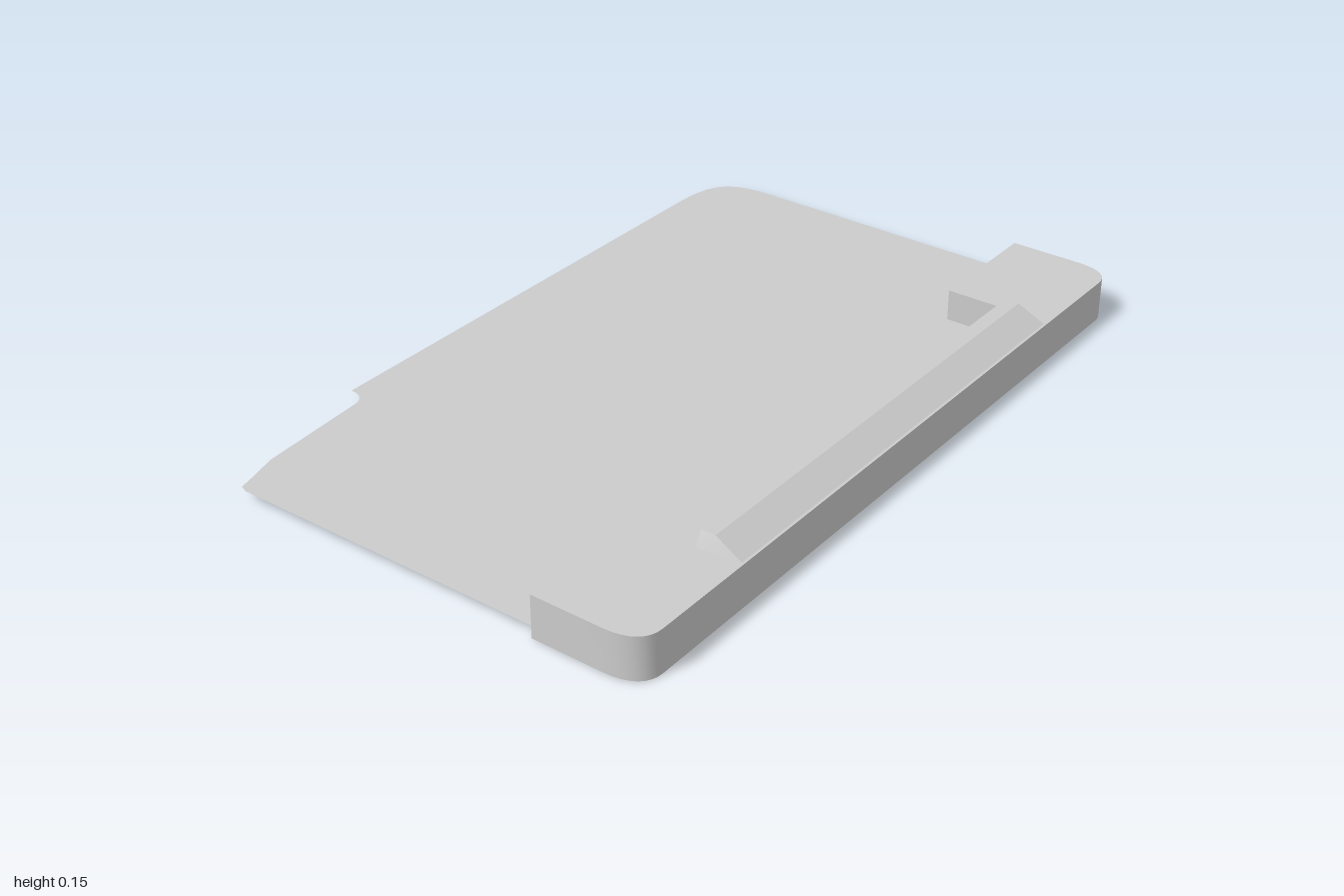
import * as THREE from 'three';
import { ConvexGeometry } from 'three/addons/geometries/ConvexGeometry.js';
import { toCreasedNormals } from 'three/addons/utils/BufferGeometryUtils.js';

const material = new THREE.MeshStandardMaterial({ color: 0xcccccc });
const sheetMaterial = new THREE.MeshStandardMaterial({ color: 0xcccccc, side: THREE.DoubleSide });

function addMesh(group, name, geometry, mat = material) {
  const mesh = new THREE.Mesh(geometry, mat);
  mesh.name = name;
  group.add(mesh);
  return mesh;
}

export function createModel() {
  const group = new THREE.Group();
  group.name = 'panelWithHousing';

  const height = 0.112, front = 0.632, back = 0.343, wall = 0.515;
  const wing = 0.66, r = 0.07;

  // U-shaped housing along the front, drawn in plan (shape y = -z)
  const plan = new THREE.Shape();
  plan.moveTo(-1, -back);
  plan.lineTo(-1, -front + 0.1);
  plan.bezierCurveTo(-1, -front + 0.03, -0.97, -front, -1 + r, -front);
  plan.lineTo(1 - r, -front);
  plan.bezierCurveTo(0.97, -front, 1, -front + 0.03, 1, -front + 0.1);
  plan.lineTo(1, -back);
  plan.lineTo(wing, -back);
  plan.lineTo(wing, -wall);
  plan.lineTo(-wing - 0.004, -wall);
  plan.lineTo(-wing - 0.004, -back);
  plan.closePath();
  const housing = new THREE.ExtrudeGeometry(plan, { depth: height, bevelEnabled: false, curveSegments: 8 });
  housing.rotateX(-Math.PI / 2);
  addMesh(group, 'housing', toCreasedNormals(housing, 0.6));

  // Raised ridge with a sloping front and angled ends
  const corners = [];
  for (const s of [-1, 1]) {
    corners.push(
      new THREE.Vector3(s * 0.661, height, wall),
      new THREE.Vector3(s * 0.648, height, 0.625),
      new THREE.Vector3(s * 0.643, 0.149, 0.553),
      new THREE.Vector3(s * 0.643, 0.149, wall)
    );
  }
  addMesh(group, 'ridge', toCreasedNormals(new ConvexGeometry(corners), 0.3));

  // Thin sheet with one rounded rear corner and one stepped rear corner
  const sheet = new THREE.Shape();
  sheet.moveTo(-0.995, -0.52);
  sheet.lineTo(-0.92, -0.615);
  sheet.lineTo(0.92, -0.615);
  sheet.lineTo(0.995, -0.52);
  sheet.lineTo(0.998, 0.48);
  sheet.bezierCurveTo(0.99, 0.59, 0.96, 0.635, 0.8, 0.635);
  sheet.lineTo(-0.53, 0.635);
  sheet.bezierCurveTo(-0.53, 0.61, -0.54, 0.585, -0.57, 0.583);
  sheet.lineTo(-0.87, 0.562);
  sheet.lineTo(-0.95, 0.54);
  sheet.lineTo(-0.99, 0.53);
  sheet.lineTo(-0.998, 0.51);
  sheet.closePath();
  const sheetGeometry = new THREE.ShapeGeometry(sheet, 10);
  sheetGeometry.rotateX(-Math.PI / 2);
  addMesh(group, 'sheet', sheetGeometry, sheetMaterial).position.y = 0.028;

  return group;
}
